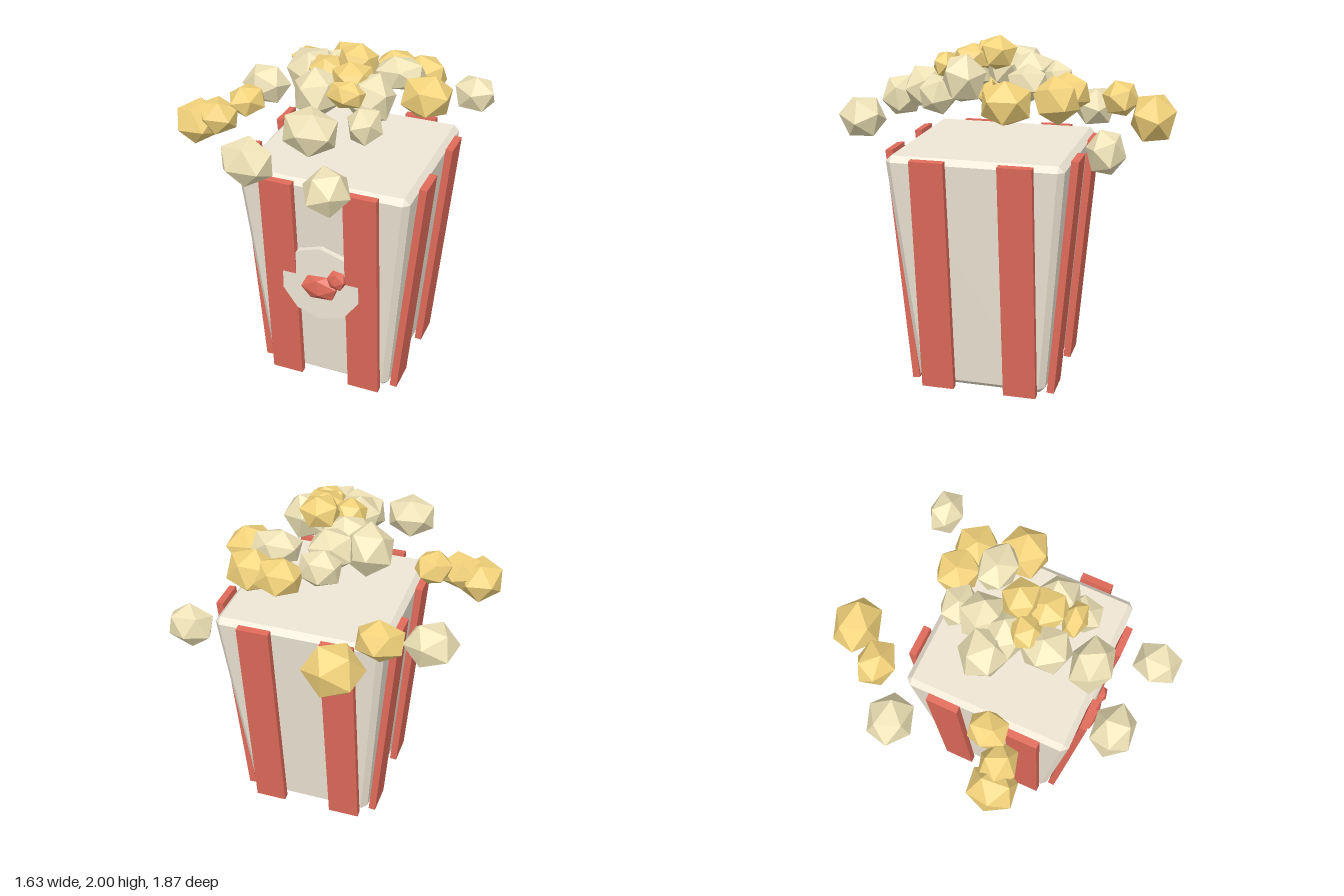
import * as THREE from 'three';
import { ConvexGeometry } from 'three/addons/geometries/ConvexGeometry.js';

const mat = (color) => new THREE.MeshStandardMaterial({ color, flatShading: true });

// Faceted lump: a turned icosahedron fitted to the given half sizes
function lump(name, material, pos, half, turn) {
  const g = new THREE.IcosahedronGeometry(1, 0);
  g.rotateX(turn * 1.3).rotateY(turn * 2.1).rotateZ(turn * 0.7);
  g.computeBoundingBox();
  const b = g.boundingBox.max;
  g.scale(half[0] / b.x, half[1] / b.y, half[2] / b.z);
  g.computeVertexNormals();
  const mesh = new THREE.Mesh(g, material);
  mesh.name = name;
  mesh.position.set(...pos);
  return mesh;
}

export function createModel() {
  const model = new THREE.Group();
  model.name = 'popcornBucket';
  const paper = mat(0xefe6d5), red = mat(0xe06b5a);
  const butter = mat(0xf2d27a), cream = mat(0xeee2b6);

  const bucket = new THREE.Group();
  bucket.name = 'bucket';
  bucket.position.set(0.17, 0, 0.057);
  model.add(bucket);

  // Tapered body with bevelled edges
  const pts = [];
  for (const sx of [-1, 1]) for (const sz of [-1, 1]) {
    const add = (x, y, z) => pts.push(new THREE.Vector3(sx * x, y, sz * z));
    add(0.343, 0.004, 0.343);
    add(0.465, 1.39, 0.465);
    for (const [h, y] of [[0.378, 0.037], [0.497, 1.357]]) {
      add(h, y, h - 0.034);
      add(h - 0.034, y, h);
    }
  }
  const body = new THREE.Mesh(new ConvexGeometry(pts), paper);
  body.name = 'body';
  bucket.add(body);

  // Two leaning stripes on each of the four sides
  const stripeGeo = new THREE.BoxGeometry(0.19, 1.388, 0.042);
  for (let i = 0; i < 4; i++) {
    const side = new THREE.Group();
    side.name = 'stripePair';
    side.rotation.y = i * Math.PI / 2;
    for (const x of [-0.243, 0.243]) {
      const stripe = new THREE.Mesh(stripeGeo, red);
      stripe.name = 'stripe';
      stripe.position.set(x, 0.694, 0.4655);
      stripe.rotation.x = 0.087;
      side.add(stripe);
    }
    bucket.add(side);
  }

  // Ten-sided badge with a red kernel
  const badge = new THREE.Mesh(
    new THREE.CylinderGeometry(0.24, 0.24, 0.06, 10).rotateX(Math.PI / 2), paper);
  badge.name = 'badge';
  badge.position.set(0.17, 0.74, 0.521);
  model.add(badge);
  model.add(lump('badgeKernel', red, [0.17, 0.725, 0.555], [0.105, 0.075, 0.045], 0.5));
  model.add(lump('badgeKernelTip', red, [0.275, 0.805, 0.565], [0.053, 0.057, 0.035], 1.1));

  // Popcorn: position, then half sizes
  const butterPieces = [
    [-0.17, 1.495, -0.80, 0.163, 0.145, 0.136],
    [-0.35, 1.565, -0.58, 0.13, 0.11, 0.115],
    [0.28, 1.71, -0.38, 0.12, 0.11, 0.12],
    [0.45, 1.70, -0.35, 0.12, 0.13, 0.125],
    [0.545, 1.69, -0.10, 0.138, 0.128, 0.13],
    [0.04, 1.86, 0.13, 0.095, 0.085, 0.1],
    [0.185, 1.90, 0.04, 0.105, 0.1, 0.11],
    [0.21, 1.87, 0.18, 0.12, 0.08, 0.11],
    [0.23, 1.83, 0.33, 0.1, 0.075, 0.07],
    [-0.45, 1.60, 0.14, 0.11, 0.09, 0.115],
    [-0.585, 1.53, 0.26, 0.115, 0.1, 0.11],
    [-0.70, 1.485, 0.28, 0.12, 0.12, 0.133],
  ];
  const creamPieces = [
    [-0.58, 1.46, -0.39, 0.148, 0.12, 0.13],
    [0.685, 1.495, -0.66, 0.122, 0.12, 0.105],
    [0.365, 1.77, -0.18, 0.13, 0.1, 0.11],
    [0.08, 1.74, -0.28, 0.11, 0.11, 0.1],
    [0.06, 1.78, -0.13, 0.125, 0.12, 0.12],
    [-0.12, 1.76, -0.04, 0.14, 0.14, 0.14],
    [0.02, 1.79, 0.03, 0.135, 0.12, 0.12],
    [0.035, 1.78, 0.25, 0.135, 0.14, 0.14],
    [0.32, 1.77, 0.20, 0.125, 0.14, 0.13],
    [0.345, 1.68, 0.345, 0.1, 0.11, 0.105],
    [0.095, 1.67, 0.50, 0.14, 0.125, 0.125],
    [-0.16, 1.56, 0.74, 0.14, 0.125, 0.115],
    [0.315, 1.52, 0.81, 0.13, 0.108, 0.12],
  ];
  const popcorn = new THREE.Group();
  popcorn.name = 'popcorn';
  for (const [list, material] of [[butterPieces, butter], [creamPieces, cream]]) {
    list.forEach((p, i) => popcorn.add(
      lump('popcornPiece', material, p.slice(0, 3), p.slice(3), i * 0.9 + 0.4)));
  }
  model.add(popcorn);
  return model;
}
